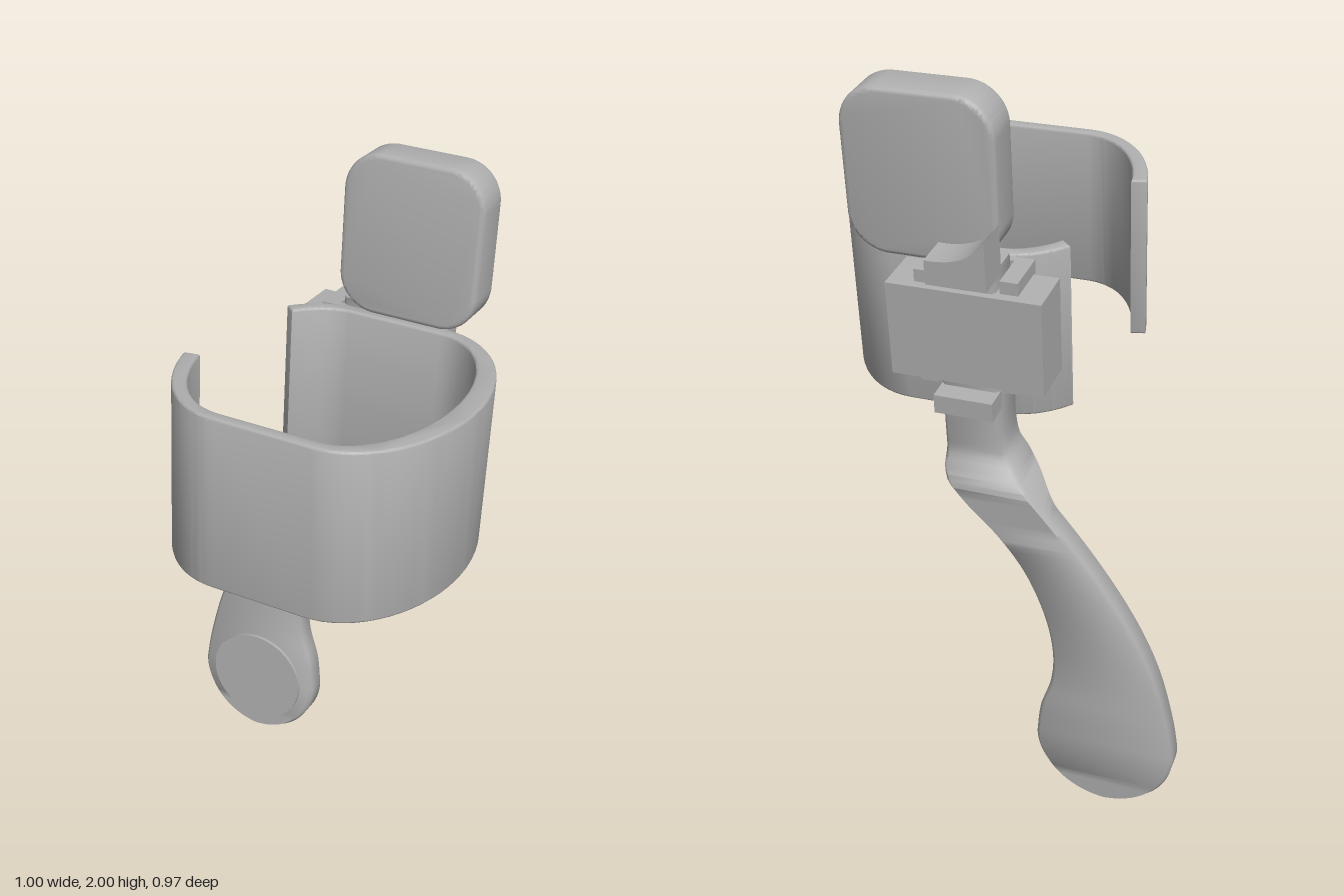
import * as THREE from 'three';
import { toCreasedNormals, mergeVertices } from 'three/addons/utils/BufferGeometryUtils.js';

const TILT = -0.0838; // whole device leans slightly back

// Extrudes a shape with a small softened edge that stays inside the outline
function softExtrude(shape, depth, bevel) {
  const geo = new THREE.ExtrudeGeometry(shape, {
    depth: depth - 2 * bevel, bevelEnabled: true, bevelThickness: bevel,
    bevelSize: bevel, bevelOffset: -bevel, bevelSegments: 3, curveSegments: 16,
  });
  geo.translate(0, 0, bevel);
  return toCreasedNormals(geo, 0.6);
}

// Open wrist band: flat front and back, half-ellipse sides, gap on the right
function cuffGeometry() {
  const cz = 0.211, outer = [], inner = [];
  const front = THREE.MathUtils.degToRad(16), back = THREE.MathUtils.degToRad(50);
  const arc = (cx, t0, t1, ro, ri) => {
    for (let i = 0; i <= 32; i++) {
      const t = t0 + (t1 - t0) * i / 32;
      outer.push(new THREE.Vector2(cx + ro[0] * Math.cos(t), cz + ro[1] * Math.sin(t)));
      inner.push(new THREE.Vector2(cx + ri[0] * Math.cos(t), cz + ri[1] * Math.sin(t)));
    }
  };
  const H = Math.PI / 2;
  arc(0, -Math.PI + back, -H, [0.25, 0.372], [0.208, 0.338]);
  arc(0.25, -H, H, [0.25, 0.372], [0.194, 0.338]);
  arc(0, H, Math.PI - front, [0.25, 0.372], [0.208, 0.338]);
  const geo = softExtrude(new THREE.Shape([...outer, ...inner.reverse()]), 0.457, 0.006);
  geo.rotateX(Math.PI / 2);
  geo.translate(0, 1.593, 0);
  return geo;
}

// Rounded square pad
function padGeometry() {
  const x0 = -0.045, x1 = 0.335, y0 = 1.598, y1 = 2.018, r = 0.1;
  const s = new THREE.Shape();
  s.absarc(x1 - r, y0 + r, r, -Math.PI / 2, 0);
  s.absarc(x1 - r, y1 - r, r, 0, Math.PI / 2);
  s.absarc(x0 + r, y1 - r, r, Math.PI / 2, Math.PI);
  s.absarc(x0 + r, y0 + r, r, Math.PI, Math.PI * 1.5);
  const geo = softExtrude(s, 0.115, 0.012);
  geo.translate(0, 0, -0.246);
  return geo;
}

// Curved lever lofted from chamfered rectangles
function leverGeometry() {
  const curve = (pts) => new THREE.SplineCurve(pts.map((p) => new THREE.Vector2(...p))).getPoints(300);
  const left = curve([[-0.504, 0.22], [-0.49, 0.32], [-0.455, 0.47], [-0.405, 0.6], [-0.335, 0.73],
    [-0.245, 0.865], [-0.14, 1.0], [-0.075, 1.07], [-0.047, 1.13], [-0.045, 1.3], [-0.045, 1.61]]);
  const right = curve([[-0.124, 0.22], [-0.137, 0.32], [-0.168, 0.42], [-0.175, 0.52], [-0.155, 0.64],
    [-0.105, 0.77], [-0.03, 0.88], [0.05, 0.965], [0.1, 1.04], [0.105, 1.13], [0.105, 1.61]]);
  const at = (pts, y) => {
    const i = Math.max(1, pts.findIndex((p) => p.y >= y));
    const a = pts[i - 1], b = pts[i];
    return a.x + (b.x - a.x) * (y - a.y) / (b.y - a.y);
  };
  const rows = [];
  for (let i = 0; i < 20; i++) { // round lower end
    const a = 0.04 + (Math.PI / 2 - 0.04) * i / 20;
    rows.push([0.218 - 0.19 * Math.cos(a), -0.314 - 0.19 * Math.sin(a), -0.314 + 0.19 * Math.sin(a)]);
  }
  for (let i = 0; i <= 90; i++) {
    const y = 0.22 + 1.389 * i / 90;
    rows.push([y, at(left, y), at(right, y)]);
  }
  const pos = [], idx = [];
  for (const [y, l, r] of rows) {
    const f = -0.257 + 0.089 * THREE.MathUtils.smoothstep(y, 0.95, 1.08); // forward jog
    const k = -0.331 + 0.045 * THREE.MathUtils.smoothstep(y, 1.01, 1.1);
    const b = Math.min(0.01, (r - l) * 0.25);
    for (const [x, z] of [[l + b, k], [l, k + b], [l, f - b], [l + b, f],
      [r - b, f], [r, f - b], [r, k + b], [r - b, k]]) pos.push(x, y, z);
  }
  const n = rows.length;
  for (let j = 0; j < n - 1; j++) {
    for (let i = 0; i < 8; i++) {
      const a = j * 8 + i, b = j * 8 + (i + 1) % 8;
      idx.push(a, b, b + 8, a, b + 8, a + 8);
    }
  }
  const t = (n - 1) * 8;
  for (let i = 1; i < 7; i++) idx.push(0, i + 1, i, t, t + i, t + i + 1);
  const geo = new THREE.BufferGeometry();
  geo.setAttribute('position', new THREE.Float32BufferAttribute(pos, 3));
  geo.setIndex(idx);
  return toCreasedNormals(mergeVertices(geo), 0.9);
}

// Thumb catch with a concave sloping top
function catchGeometry() {
  const s = new THREE.Shape();
  s.moveTo(-0.045, 1.587);
  s.lineTo(0.105, 1.587);
  s.lineTo(0.105, 1.65);
  s.quadraticCurveTo(0.0, 1.645, -0.045, 1.714);
  const geo = new THREE.ExtrudeGeometry(s, { depth: 0.1, bevelEnabled: false, curveSegments: 16 });
  geo.translate(0, 0, -0.338);
  return toCreasedNormals(geo, 0.5);
}

export function createModel() {
  const model = new THREE.Group();
  model.name = 'wristDevice';
  const body = new THREE.Group();
  body.name = 'tiltedBody';
  body.rotation.x = TILT;
  model.add(body);

  const grey = new THREE.MeshStandardMaterial({ color: 0xb0b0b0 });
  grey.name = 'plain grey';

  const add = (name, geo) => {
    const mesh = new THREE.Mesh(geo, grey);
    mesh.name = name;
    body.add(mesh);
  };
  const box = (name, x0, x1, y0, y1, z0, z1) => {
    const geo = new THREE.BoxGeometry(x1 - x0, y1 - y0, z1 - z0);
    geo.translate((x0 + x1) / 2, (y0 + y1) / 2, (z0 + z1) / 2);
    add(name, geo);
  };

  add('cuff', cuffGeometry());
  add('pad', padGeometry());
  add('lever', leverGeometry());
  add('thumbCatch', catchGeometry());

  // Sliding mount behind the cuff
  box('housing', -0.165, 0.225, 1.305, 1.555, -0.303, -0.168);
  box('railRight', -0.1, -0.055, 1.282, 1.588, -0.278, -0.155);
  box('railLeft', 0.115, 0.16, 1.282, 1.588, -0.278, -0.155);
  box('mountPlate', -0.1, 0.16, 1.282, 1.588, -0.175, -0.155);
  box('stopBar', -0.045, 0.105, 1.233, 1.283, -0.338, -0.27);

  // Round button on the lever end
  const button = new THREE.CylinderGeometry(0.15, 0.15, 0.02, 48);
  button.rotateX(Math.PI / 2);
  button.translate(-0.314, 0.22, -0.257);
  add('button', button);

  return model;
}
